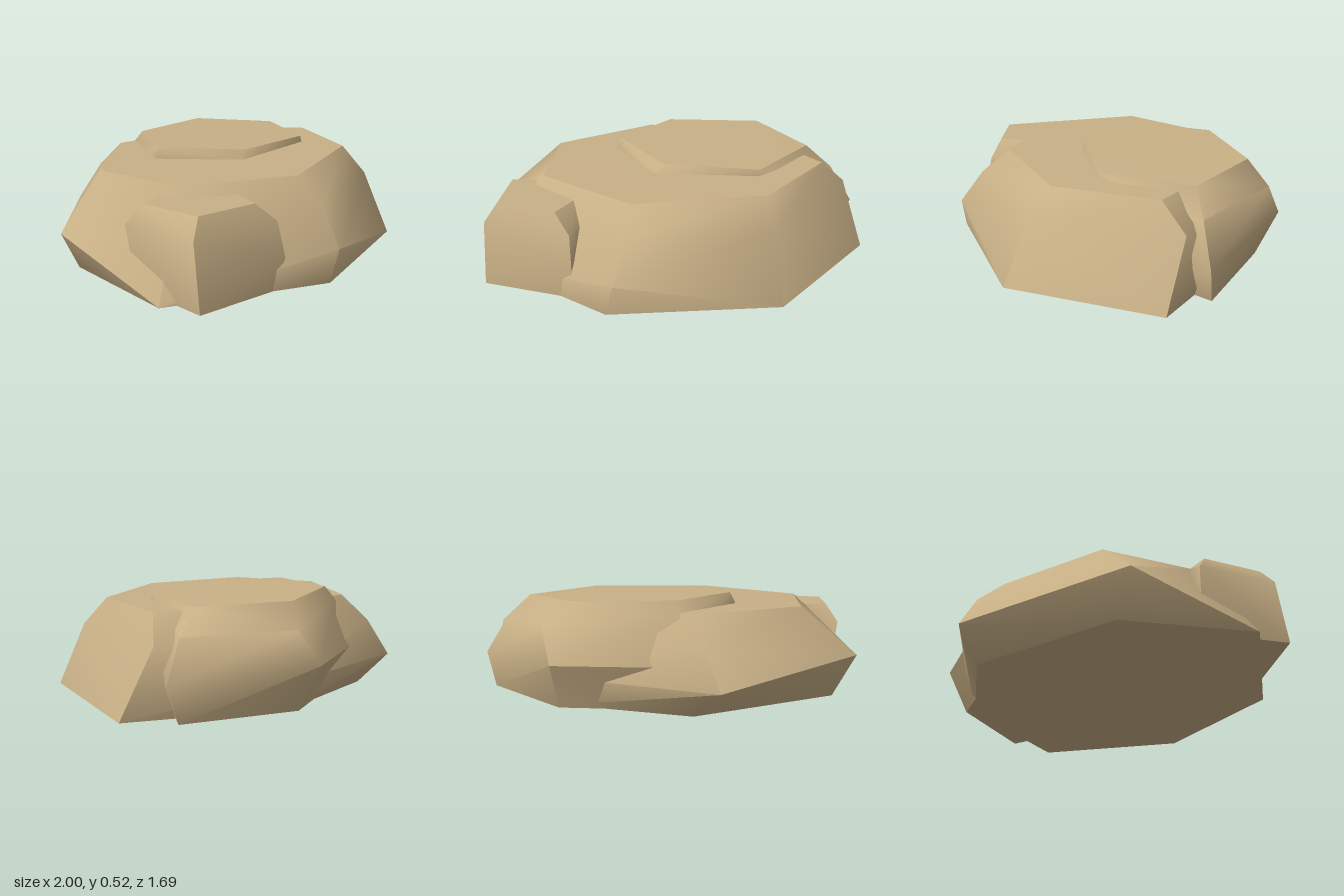
import * as THREE from 'three';
import { ConvexGeometry } from 'three/addons/geometries/ConvexGeometry.js';
import { toCreasedNormals, mergeGeometries } from 'three/addons/utils/BufferGeometryUtils.js';

// Boulder from corner points: a flat cap and base, softly shaded sides
function boulder(name, corners, material) {
  const hull = new ConvexGeometry(corners.map((c) => new THREE.Vector3(...c)));
  const p = hull.getAttribute('position').array;
  const flat = [], sides = [];
  const tri = new THREE.Triangle(), n = new THREE.Vector3();
  for (let i = 0; i < p.length; i += 9) {
    tri.a.fromArray(p, i);
    tri.b.fromArray(p, i + 3);
    tri.c.fromArray(p, i + 6);
    tri.getNormal(n);
    (Math.abs(n.y) > 0.93 ? flat : sides).push(...p.slice(i, i + 9));
  }
  const part = (list, crease) => {
    const g = new THREE.BufferGeometry();
    g.setAttribute('position', new THREE.Float32BufferAttribute(list, 3));
    return toCreasedNormals(g, crease);
  };
  const mesh = new THREE.Mesh(mergeGeometries([part(flat, 0.2), part(sides, 0.87)]), material);
  mesh.name = name;
  return mesh;
}

export function createModel() {
  const group = new THREE.Group();
  group.name = 'rockFormation';
  const sandstone = new THREE.MeshStandardMaterial({ color: 0xc8b086 });
  sandstone.name = 'sandstone';

  group.add(boulder('mainRock', [
    // cap
    [-0.71, 0.46, -0.26], [-0.70, 0.46, 0.24], [-0.20, 0.46, 0.57],
    [0.46, 0.47, 0.44], [0.76, 0.47, -0.02], [0.40, 0.47, -0.45], [-0.22, 0.465, -0.61],
    // shoulders
    [0.89, 0.34, -0.10], [-0.21, 0.34, 0.72], [0.50, 0.33, 0.56], [-0.25, 0.33, -0.75],
    // widest points
    [-0.26, 0.16, 0.845], [-1, 0.21, -0.24], [-0.33, 0.14, -0.845], [0.50, 0.15, -0.62],
    // base
    [-1, 0, 0.38], [-0.30, 0, 0.825], [0.54, 0, 0.70], [1, 0, 0.02],
    [0.45, 0, -0.58], [-0.20, 0, -0.72], [-0.88, 0, -0.26],
  ], sandstone));

  group.add(boulder('rearRock', [
    // cap
    [-0.10, 0.52, -0.555], [0.42, 0.515, -0.575], [0.69, 0.497, -0.21],
    [0.42, 0.50, 0.185], [-0.08, 0.508, 0.16], [-0.35, 0.52, -0.20],
    // shoulders
    [0.83, 0.38, -0.20], [0.53, 0.40, -0.65], [0.41, 0.45, 0.21],
    [-0.13, 0.45, 0.19], [-0.38, 0.46, -0.20], [-0.12, 0.46, -0.60],
    // widest points
    [0.955, 0.18, -0.20], [0.475, 0.23, -0.74], [-0.16, 0.23, -0.72],
    // base
    [0.90, 0, -0.23], [0.46, 0, -0.63], [-0.15, 0, -0.62], [-0.30, 0, -0.20], [0.40, 0, 0.15],
  ], sandstone));

  group.add(boulder('smallRock', [
    // cap
    [-0.87, 0.41, 0.50], [-0.88, 0.41, 0.19], [-0.77, 0.41, 0.17],
    [-0.50, 0.41, 0.42], [-0.57, 0.41, 0.58],
    // shoulders
    [-0.94, 0.32, 0.13], [-0.94, 0.32, 0.53], [-0.44, 0.32, 0.50], [-0.49, 0.32, 0.65],
    // lower sides and base
    [-0.48, 0.15, 0.69], [-0.95, 0, 0.57], [-0.54, 0, 0.67], [-0.90, 0, 0.15], [-0.50, 0, 0.40],
  ], sandstone));

  return group;
}
